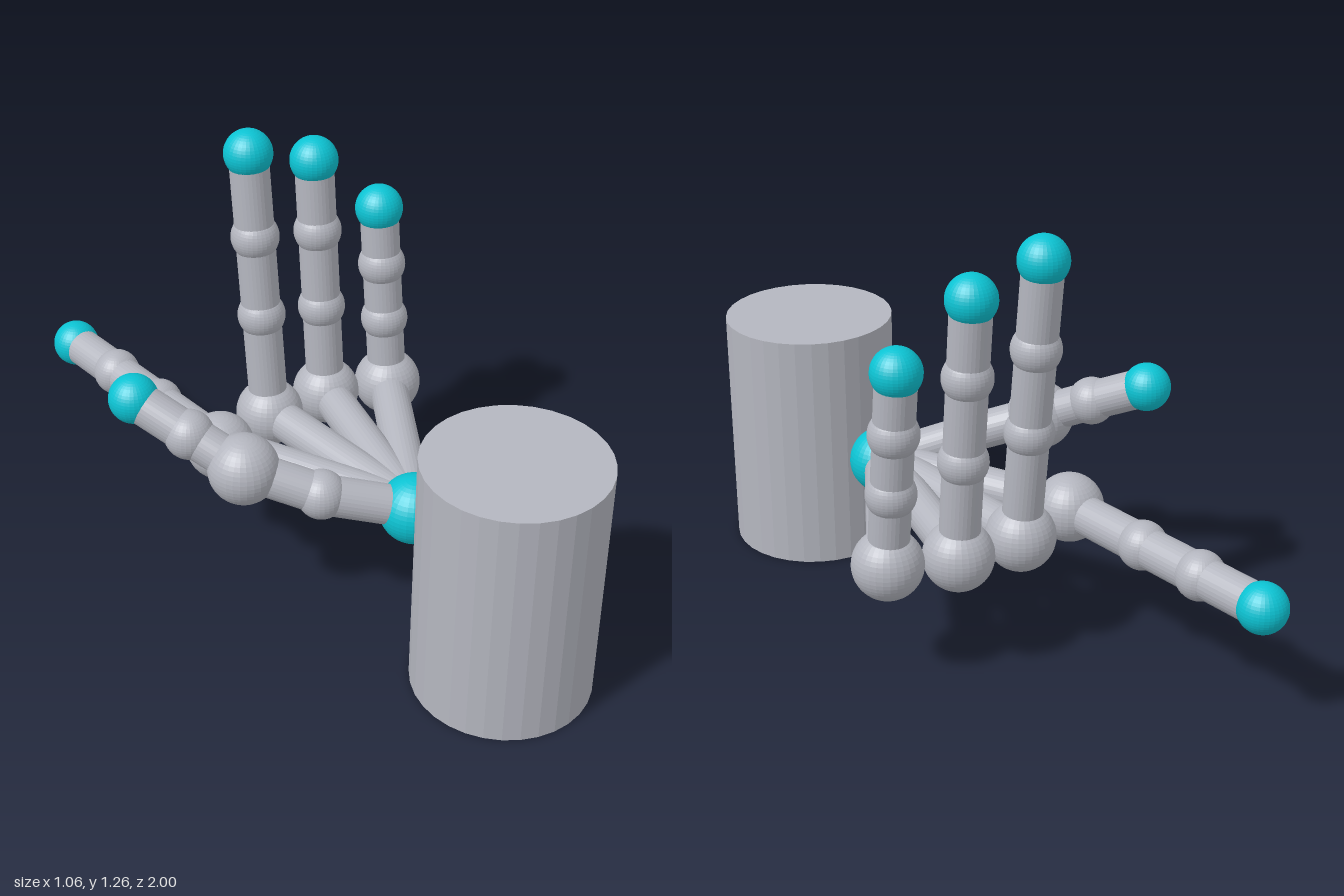
import * as THREE from 'three';

export function createModel() {
  const model = new THREE.Group();
  const grey = new THREE.MeshStandardMaterial({ color: 0xb4b6bf, flatShading: true });
  grey.name = 'light grey';
  const teal = new THREE.MeshStandardMaterial({ color: 0x0cc3d3, flatShading: true });
  teal.name = 'teal';

  const BONE = 0.057, JOINT = 0.07, KNUCKLE = 0.1;
  const up = new THREE.Vector3(0, 1, 0);
  const V = (x, y, z) => new THREE.Vector3(x, y, z);

  function ball(parent, name, p, r, material) {
    const mesh = new THREE.Mesh(new THREE.SphereGeometry(r, 32, 24), material);
    mesh.name = name;
    mesh.position.copy(p);
    parent.add(mesh);
  }

  function bone(parent, name, a, b) {
    const mesh = new THREE.Mesh(new THREE.CylinderGeometry(BONE, BONE, a.distanceTo(b), 32), grey);
    mesh.name = name;
    mesh.position.addVectors(a, b).multiplyScalar(0.5);
    mesh.quaternion.setFromUnitVectors(up, b.clone().sub(a).normalize());
    parent.add(mesh);
  }

  // Free-standing cylinder in front of the hand
  const can = new THREE.Mesh(new THREE.CylinderGeometry(0.253, 0.253, 0.73, 32), grey);
  can.name = 'cylinder';
  can.position.set(0.05, 0.365, 0.747);
  model.add(can);

  // Wrist
  const wrist = V(0.05, 0.367, 0.385);
  ball(model, 'wrist', wrist, KNUCKLE, teal);

  // Each digit is a chain of joints from the wrist to a teal tip
  function digit(name, points, knuckleIndex) {
    const group = new THREE.Group();
    group.name = name;
    let previous = wrist;
    points.forEach((p, i) => {
      bone(group, 'bone', previous, p);
      if (i === points.length - 1) ball(group, 'fingertip', p, JOINT, teal);
      else if (i === knuckleIndex) ball(group, 'knuckle', p, KNUCKLE, grey);
      else ball(group, 'joint', p, JOINT, grey);
      previous = p;
    });
    model.add(group);
  }

  // Straight fingers: knuckle, tip, and joints at fractions along the line
  function finger(name, knuckle, tip, fractions) {
    const joints = fractions.map((t) => knuckle.clone().lerp(tip, t));
    digit(name, [knuckle, ...joints, tip], 0);
  }

  finger('indexFinger', V(-0.17, 0.367, -0.2), V(-0.17, 0.367, -0.932), [0.405, 0.7]);
  finger('middleFinger', V(0.05, 0.367, -0.24), V(0.05, 1.195, -0.317), [0.395, 0.695]);
  finger('ringFinger', V(0.252, 0.367, -0.215), V(0.252, 1.125, -0.272), [0.385, 0.71]);
  finger('littleFinger', V(0.428, 0.367, -0.13), V(0.428, 0.945, -0.185), [0.38, 0.69]);

  digit('thumb', [
    V(-0.165, 0.44, 0.24),
    V(-0.313, 0.513, 0.087),
    V(-0.387, 0.586, -0.055),
    V(-0.46, 0.66, -0.205),
  ], 1);

  return model;
}
